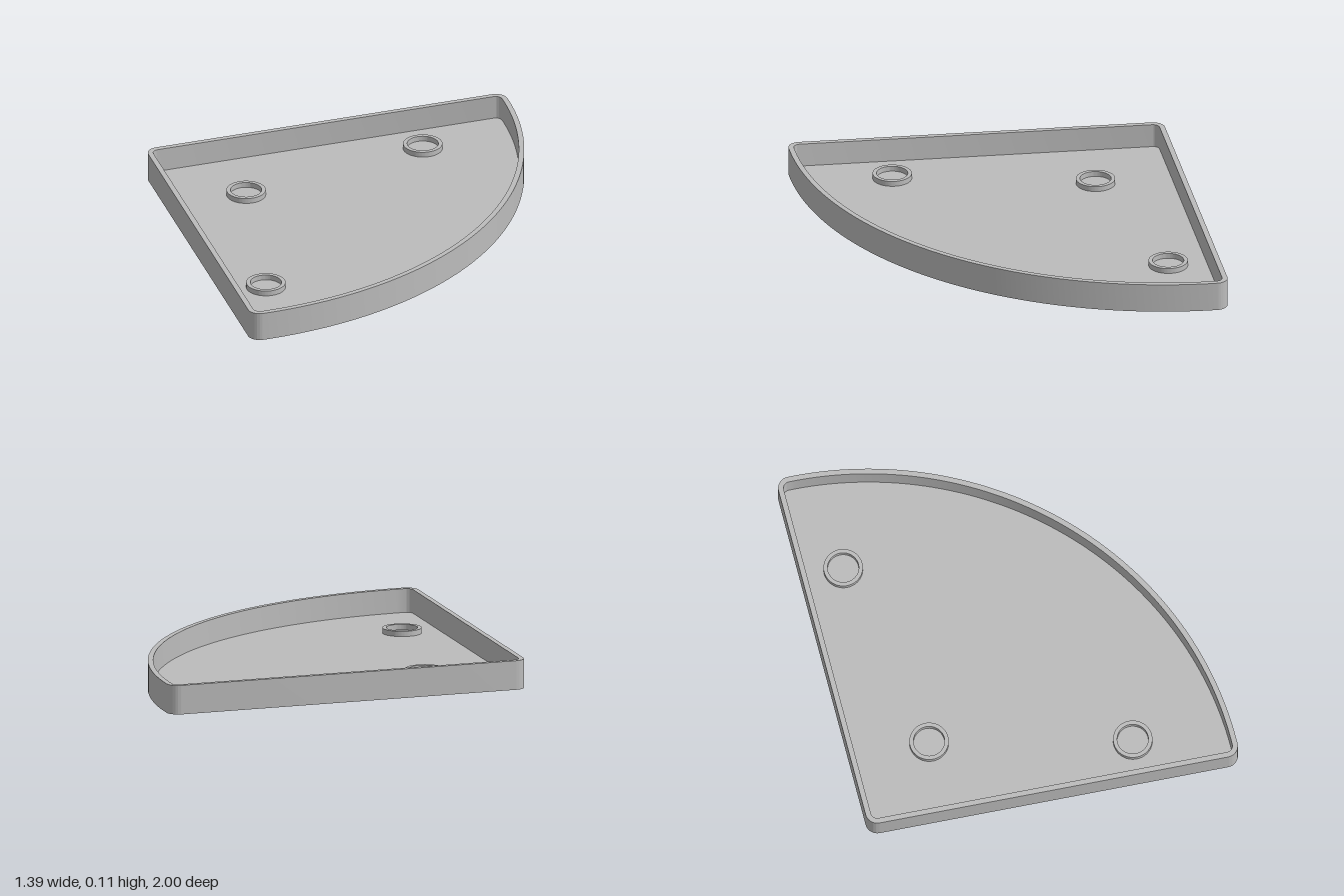
import * as THREE from 'three';
import { toCreasedNormals } from 'three/addons/utils/BufferGeometryUtils.js';

const HEIGHT = 0.11, FLOOR = 0.02, WALL = 0.02;
const APEX = -0.712, RADIUS = 1.407, FILLET = 0.045;
const HALF = THREE.MathUtils.degToRad(46.4); // half angle of the sector

// Rounded sector outline, moved inwards by inset
function sector(inset, Type = THREE.Shape) {
  const r = FILLET - inset;
  const reach = RADIUS - FILLET;
  const a = HALF - Math.asin(FILLET / reach);
  const cx = APEX + reach * Math.cos(a), cy = reach * Math.sin(a);
  const tip = APEX + FILLET / Math.sin(HALF);
  const q = Math.PI / 2;
  const s = new Type();
  s.absarc(tip, 0, r, HALF + q, 3 * q - HALF, false);
  s.absarc(cx, -cy, r, -HALF - q, -a, false);
  s.absarc(APEX, 0, RADIUS - inset, -a, a, false);
  s.absarc(cx, cy, r, a, HALF + q, false);
  s.closePath();
  return s;
}

// Extrude a plan outline upwards from height y
function slab(name, shape, y, depth, material) {
  const geo = new THREE.ExtrudeGeometry(shape, { depth, bevelEnabled: false, curveSegments: 40 });
  geo.rotateX(-Math.PI / 2);
  const mesh = new THREE.Mesh(toCreasedNormals(geo, 0.6), material);
  mesh.name = name;
  mesh.position.y = y;
  return mesh;
}

export function createModel() {
  const grey = new THREE.MeshStandardMaterial({ color: 0xbcbcbc });
  grey.name = 'grey';
  const model = new THREE.Group();
  model.name = 'sectorTray';

  // Rim wall and floor plate
  const wall = sector(0);
  wall.holes.push(sector(WALL, THREE.Path));
  model.add(slab('rimWall', wall, 0, HEIGHT, grey));
  model.add(slab('floor', sector(WALL), 0, FLOOR, grey));

  // Raised locating rings on the floor
  for (const [x, z] of [[-0.29, 0], [0.12, 0.635], [0.12, -0.635]]) {
    const ring = new THREE.Shape().absarc(0, 0, 0.073, 0, Math.PI * 2, false);
    ring.holes.push(new THREE.Path().absarc(0, 0, 0.058, 0, Math.PI * 2, true));
    const mesh = slab('locatingRing', ring, FLOOR, 0.02, grey);
    mesh.position.x = x;
    mesh.position.z = z;
    model.add(mesh);
  }
  return model;
}
